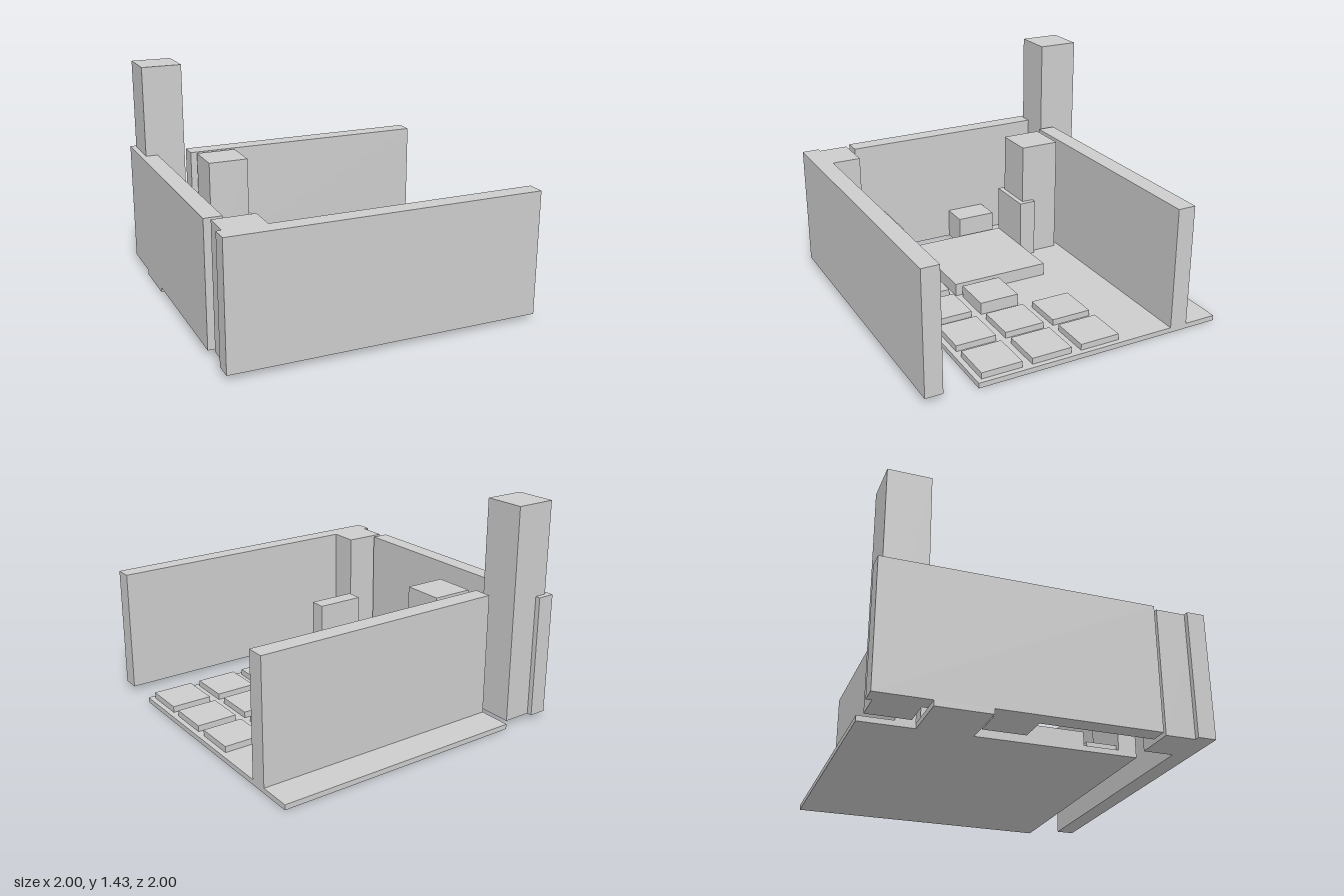
import * as THREE from 'three';

export function createModel() {
  const model = new THREE.Group();
  model.name = 'courtyard';
  const stone = new THREE.MeshStandardMaterial({ color: 0xcccccc });
  stone.name = 'pale grey stone';

  const FLOOR = 1 / 30; // floor thickness, where everything else starts
  const WALL = FLOOR + 0.8;
  const T = 1 / 3; // grid cell

  // box from its extents
  function block(name, x0, x1, y0, y1, z0, z1) {
    const mesh = new THREE.Mesh(new THREE.BoxGeometry(x1 - x0, y1 - y0, z1 - z0), stone);
    mesh.name = name;
    mesh.position.set((x0 + x1) / 2, (y0 + y1) / 2, (z0 + z1) / 2);
    model.add(mesh);
  }

  // square block inset in a grid cell, centred on x, z
  const cell = (name, x, z, top) =>
    block(name, x - 0.1333, x + 0.1333, FLOOR, top, z - 0.1333, z + 0.1333);

  // floor and entrance slab
  block('floor', -2 * T, 1, 0, FLOOR, -1, 2 * T);
  block('entranceSlab', -1, -2 * T, 0, FLOOR, -2 * T, -T);

  // tall walls
  block('frontWall', -1, 1, FLOOR, WALL, 0.887, 1);
  block('sideWall', -1, -0.887, FLOOR, WALL, -1, 2 * T);
  block('backWall', -2 * T, 1, FLOOR, WALL, -0.785, -2 * T);

  // low walls
  for (const z of [-T, 2 * T]) {
    block('lowWall', -2 * T, -T, FLOOR, FLOOR + 0.4, z - 0.113, z);
  }

  // raised platform
  block('platform', -2 * T, 0, FLOOR, 0.117, -T, T);

  // pillars
  cell('tower', -2.5 * T, -2.5 * T, FLOOR + 1.4);
  cell('cornerPillar', -2.5 * T, 2.5 * T, WALL);
  cell('innerPillar', -1.5 * T, -1.5 * T, WALL);
  cell('stub', -2.5 * T, -0.5 * T, FLOOR + 0.2);

  // paving slabs, in rows from front to back
  const rows = [
    [1.5, [-1.5, -0.5, 0.5, 1.5, 2.5]],
    [0.5, [1.5, 2.5]],
    [-0.5, [1.5, 2.5]],
  ];
  for (const [z, columns] of rows) {
    for (const x of columns) cell('pavingSlab', x * T, z * T, FLOOR + 0.04);
  }
  cell('thickPavingSlab', 0.5 * T, 0.5 * T, FLOOR + 0.08);

  return model;
}
